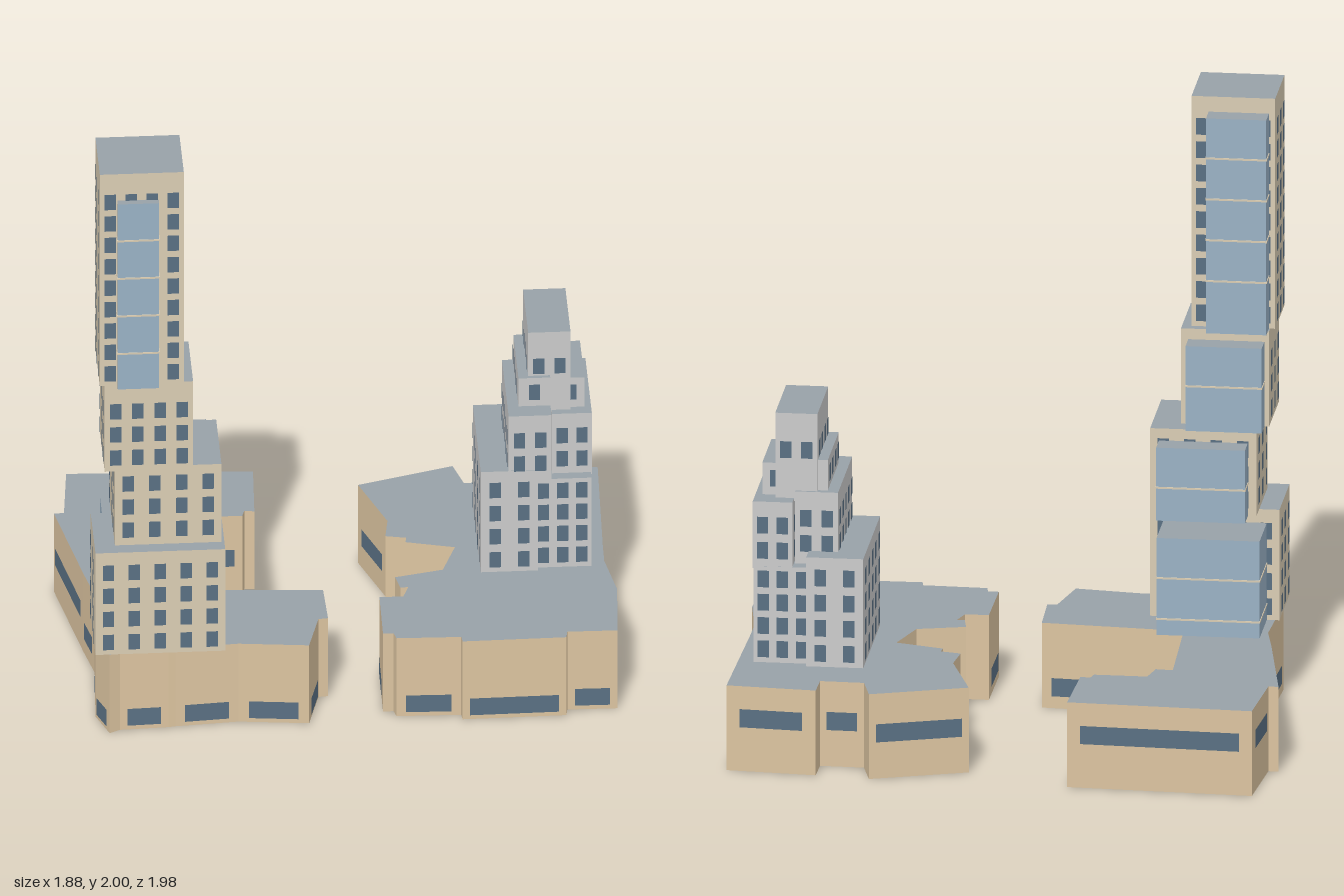
import * as THREE from 'three';
import { mergeGeometries } from 'three/addons/utils/BufferGeometryUtils.js';

const paint = (color, side = THREE.FrontSide) => new THREE.MeshStandardMaterial({ color, side });
const roof = paint(0x98a1a7, THREE.DoubleSide), tan = paint(0xdcc4a0, THREE.DoubleSide);
const beige = paint(0xdacdb4), grey = paint(0xbfc0c3), glass = paint(0x9ab2c5), pane = paint(0x5a7083);

// Shared ground directions: U runs right and back, V runs left and back
const U = [0.594, -0.804], V = [-0.798, -0.603];
const move = ([x, z], u, v) => [x + U[0] * u + V[0] * v, z + U[1] * u + V[1] * v];

const groundShape = (points) => new THREE.Shape(points.map(([x, z]) => new THREE.Vector2(x, -z)));

// Prism over a ground outline, with its own top and wall colours
function prism(name, points, y0, y1, wall, top = roof) {
  const geo = new THREE.ExtrudeGeometry(groundShape(points), { depth: y1 - y0, bevelEnabled: false });
  geo.rotateX(-Math.PI / 2).translate(0, y0, 0);
  const mesh = new THREE.Mesh(geo, [top, wall]);
  mesh.name = name;
  return mesh;
}

// Rectangle from its front corner, clockwise seen from above
const rect = (f, lu, lv) => [f, move(f, 0, lv), move(f, lu, lv), move(f, lu, 0)];

// Upright panel facing outward on the wall a-b, centred at fraction t of its length
function panel(a, b, t, y, w, h, out) {
  const dx = b[0] - a[0], dz = b[1] - a[1];
  const geo = new THREE.PlaneGeometry(w, h).translate(0, 0, out);
  geo.rotateY(Math.atan2(dz, -dx));
  return geo.translate(a[0] + dx * t, y, a[1] + dz * t);
}

// Box storey block with a grid of windows on all four sides
function storeys(name, wall, { f, lu, lv, y0, y1, cu, cv, rows, first, pitch = 0.083 }) {
  const group = new THREE.Group();
  group.name = name;
  const pts = rect(f, lu, lv), panes = [];
  pts.forEach((a, i) => {
    const b = pts[(i + 1) % 4], cols = i % 2 ? cu : cv;
    for (let c = 0; c < cols; c++)
      for (let r = 0; r < rows; r++)
        panes.push(panel(a, b, (c + 0.5) / cols, first + r * pitch, 0.036, 0.055, 0.003));
  });
  const windows = new THREE.Mesh(mergeGeometries(panes), pane);
  windows.name = name + 'Windows';
  group.add(prism(name + 'Walls', pts, y0, y1, wall), windows);
  return group;
}

// Glass bay with thin floor lines
function bay(name, f, lu, lv, y0, y1) {
  const group = new THREE.Group();
  group.name = name;
  group.add(prism(name + 'Glass', rect(f, lu, lv), y0, y1, glass));
  const e = 0.002;
  for (let y = y1 - 0.135; y > y0 + 0.04; y -= 0.135)
    group.add(prism('floorLine', rect(move(f, -e, -e), lu + 2 * e, lv + 2 * e), y, y + 0.006, beige, beige));
  return group;
}

// Hollow podium, open below: each outline point is [x, z, bottom of the window on the next wall]
function podium(name, outline) {
  const group = new THREE.Group();
  group.name = name;
  const panes = [], sides = [], height = 0.28;
  outline.forEach((a, i) => {
    const b = outline[(i + 1) % outline.length];
    const len = Math.hypot(b[0] - a[0], b[1] - a[1]);
    sides.push(panel(a, b, 0.5, height / 2, len, height, 0));
    if (a[2]) panes.push(panel(a, b, 0.5, a[2] + 0.03, len * (len > 0.3 ? 0.86 : 0.7), 0.06, 0.003));
  });
  const walls = new THREE.Mesh(mergeGeometries(sides), tan);
  walls.name = name + 'Walls';
  const windows = new THREE.Mesh(mergeGeometries(panes), pane);
  windows.name = name + 'Windows';
  const top = new THREE.Mesh(new THREE.ShapeGeometry(groundShape(outline)), roof);
  top.geometry.rotateX(-Math.PI / 2).translate(0, height, 0);
  top.name = name + 'Roof';
  group.add(walls, windows, top);
  return group;
}

export function createModel() {
  const model = new THREE.Group();
  model.name = 'towerBlocks';

  model.add(podium('backPodium', [
    [0.105, -0.99, 0.145], [0.5, -0.675, 0.08], [0.575, -0.617, 0.06], [0.74, -0.53, 0.035],
    [0.94, -0.36, 0.015], [0.845, -0.235], [0.87, -0.21, 0.015], [0.68, 0.055],
    [0.655, 0.04, 0.015], [0.53, 0.2], [0.5, 0.186], [0.48, 0.213, 0.03],
    [0.295, 0.07], [0.34, 0.01], [0.305, -0.04], [0.29, -0.02], [0.23, -0.05, 0.03],
    [0.29, -0.195], [0.205, -0.317, 0.06], [0.08, -0.22], [0.06, -0.24], [0.01, -0.197],
    [-0.06, -0.265, 0.08], [-0.295, -0.344, 0.12], [-0.195, -0.648], [-0.09, -0.605, 0.12],
    [-0.005, -0.715], [-0.08, -0.774, 0.145],
  ]));
  model.add(podium('frontPodium', [
    [-0.575, -0.15, 0.12], [-0.377, 0.013], [-0.4, 0.035], [-0.38, 0.06, 0.1],
    [-0.48, 0.195], [-0.43, 0.255], [-0.466, 0.296, 0.07], [-0.147, 0.52, 0.04],
    [0.147, 0.176, 0.035], [0.293, 0.28], [0.278, 0.307, 0.015], [0.387, 0.438, 0.015],
    [0.235, 0.6, 0.015], [0.13, 0.77], [0.12, 0.79, 0.015], [0.035, 0.917],
    [0.03, 0.955, 0.015], [-0.08, 0.92, 0.035], [-0.295, 0.74, 0.055], [-0.42, 0.68, 0.11],
    [-0.775, 0.5], [-0.755, 0.475, 0.145], [-0.942, 0.307, 0.145],
  ]));

  // Tall tower: four stacked blocks, each with a glass bay [start, width, depth, top] on its rear left side
  [
    { f: [0, 0.988], lu: 0.408, lv: 0.257, y0: 0.28, y1: 0.645, cu: 5, cv: 3, rows: 4, first: 0.325, g: [0.04, 0.325, 0.186, 0.6] },
    { f: [0, 0.908], lu: 0.335, lv: 0.284, y0: 0.645, y1: 0.925, cu: 4, cv: 3, rows: 3, first: 0.7, g: [0.027, 0.28, 0.074, 0.886] },
    { f: [0, 0.95], lu: 0.278, lv: 0.254, y0: 0.925, y1: 1.24, cu: 4, cv: 3, rows: 3, first: 0.975, g: [0.015, 0.24, 0.07, 1.205] },
    { f: [0, 0.97], lu: 0.264, lv: 0.238, y0: 1.24, y1: 2, cu: 4, cv: 3, rows: 9, first: 1.285, pitch: 0.077, g: [0.02, 0.19, 0.068, 1.95] },
  ].forEach((t, i) => {
    model.add(storeys('tallTowerTier' + (i + 1), beige, t));
    const [a, w, d, top] = t.g;
    model.add(bay('glassBay' + (i + 1), move(t.f, a, t.lv), w, d, t.y0, top));
  });
  model.add(bay('frontGlassBay', move([0, 0.97], 0.055, -0.025), 0.13, 0.025, 1.24, 1.905));

  // Short tower: overlapping stepped blocks
  [
    { f: [0.38, -0.275], lu: 0.18, lv: 0.43, y0: 0.28, y1: 0.64, cu: 2, cv: 5, rows: 4, first: 0.325 },
    { f: [0.465, -0.42], lu: 0.182, lv: 0.387, y0: 0.28, y1: 0.597, cu: 3, cv: 5, rows: 4, first: 0.325, pitch: 0.077 },
    { f: [0.43, -0.347], lu: 0.135, lv: 0.363, y0: 0.59, y1: 0.835, cu: 2, cv: 5, rows: 2, first: 0.665 },
    { f: [0.472, -0.49], lu: 0.125, lv: 0.35, y0: 0.59, y1: 0.81, cu: 2, cv: 5, rows: 2, first: 0.65 },
    { f: [0.4, -0.413], lu: 0.1, lv: 0.28, y0: 0.8, y1: 0.935, cu: 1, cv: 4, rows: 1, first: 0.885 },
    { f: [0.45, -0.53], lu: 0.085, lv: 0.235, y0: 0.8, y1: 0.915, cu: 1, cv: 4, rows: 1, first: 0.865 },
    { f: [0.407, -0.447], lu: 0.133, lv: 0.277, y0: 0.8, y1: 1.09, cu: 2, cv: 4, rows: 1, first: 0.97 },
  ].forEach((t, i) => model.add(storeys('shortTowerBlock' + (i + 1), grey, t)));

  return model;
}
